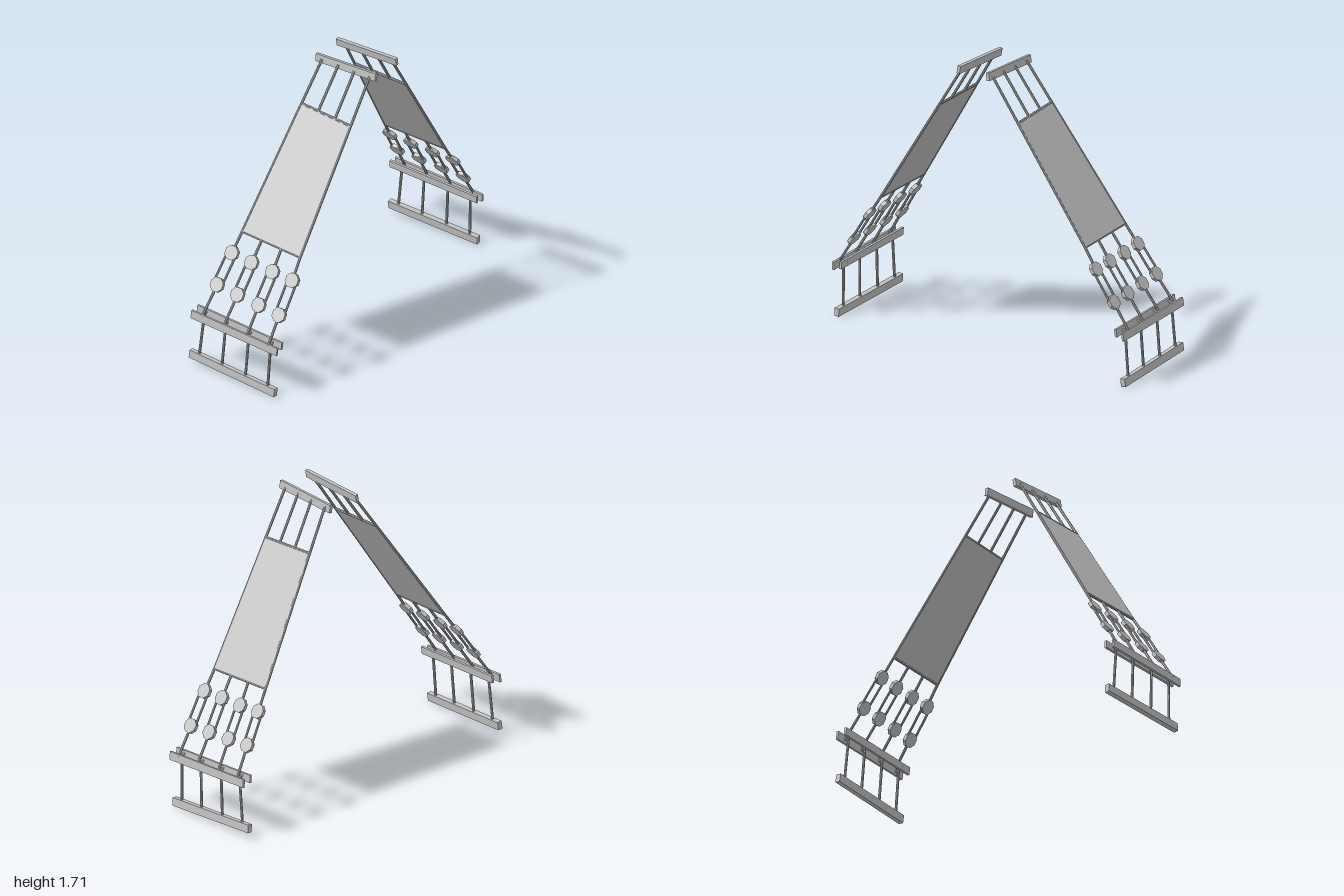
import * as THREE from 'three';

const V = (x, y, z) => new THREE.Vector3(x, y, z);

export function createModel() {
  const grey = new THREE.MeshStandardMaterial({ color: 0xc0c0c0 });
  grey.name = 'grey metal';
  grey.flatShading = true;
  const model = new THREE.Group();
  model.name = 'hingedPair';

  // One side; s = 1 for the model's left, -1 for its right
  function buildSide(s) {
    const side = new THREE.Group();
    side.name = s > 0 ? 'leftSide' : 'rightSide';

    // Point on the sloping plane at height y and depth z
    const onSlope = (y, z) => V(s * (0.1 + (1.69 - y) * 0.652), y, z);
    const normal = V(s * 0.838, 0.546, 0);

    function add(geometry, name) {
      const mesh = new THREE.Mesh(geometry, grey);
      mesh.name = name;
      side.add(mesh);
      return mesh;
    }

    function rod(a, b, name, radius = 0.008) {
      const mesh = add(new THREE.CylinderGeometry(radius, radius, a.distanceTo(b), 8), name);
      mesh.position.copy(a).lerp(b, 0.5);
      mesh.quaternion.setFromUnitVectors(V(0, 1, 0), b.clone().sub(a).normalize());
    }

    // Box running from a to b with its height along up
    function bar(a, b, width, height, up, name) {
      const mesh = add(new THREE.BoxGeometry(width, height, a.distanceTo(b)), name);
      const dir = b.clone().sub(a).normalize();
      const across = up.clone().cross(dir).normalize();
      const top = dir.clone().cross(across);
      mesh.quaternion.setFromRotationMatrix(new THREE.Matrix4().makeBasis(across, top, dir));
      mesh.position.copy(a).lerp(b, 0.5);
    }

    // Flat disc lying in the slope
    function disc(p) {
      const geometry = new THREE.CylinderGeometry(0.044, 0.044, 0.022, 8);
      geometry.rotateY(Math.PI / 8);
      const mesh = add(geometry, 'disc');
      mesh.quaternion.setFromUnitVectors(V(0, 1, 0), normal);
      mesh.position.copy(p);
    }

    // Top bar
    bar(V(s * 0.1, 1.676, -0.08), V(s * 0.1, 1.69, 0.33), 0.02, 0.046, V(-s * 0.15, 1, 0), 'topBar');

    // Side rails and inner rods above the panel
    rod(onSlope(1.69, 0.29), onSlope(0.77, 0.235), 'sideRail');
    rod(onSlope(1.68, -0.037), onSlope(0.787, -0.172), 'sideRail');
    rod(onSlope(1.69, 0.185), onSlope(1.435, 0.163), 'upperRod');
    rod(onSlope(1.685, 0.075), onSlope(1.44, 0.045), 'upperRod');

    // Panel: a thin box stretched to its four corners
    const panelGeo = new THREE.BoxGeometry(1, 1, 1);
    const pos = panelGeo.attributes.position;
    const rows = [
      [onSlope(0.787, -0.17), onSlope(0.77, 0.237)],
      [onSlope(1.45, -0.067), onSlope(1.432, 0.273)],
    ];
    for (let i = 0; i < pos.count; i++) {
      const row = rows[pos.getY(i) > 0 ? 1 : 0];
      const p = row[pos.getZ(i) > 0 ? 1 : 0].clone();
      p.addScaledVector(normal, s * pos.getX(i) * 0.01);
      pos.setXYZ(i, p.x, p.y, p.z);
    }
    panelGeo.computeVertexNormals();
    add(panelGeo, 'panel');
    rod(...rows[0], 'panelEdge');
    rod(...rows[1], 'panelEdge');

    // Four strands, each a rod, two discs joined by twin rods, and a lower rod
    // [panel z, y], [upper disc z, y], [lower disc z, y], hinge z, foot z
    const strands = [
      [[0.235, 0.77], [0.235, 0.655], [0.225, 0.48], 0.22, 0.207],
      [[0.102, 0.775], [0.096, 0.66], [0.08, 0.49], 0.068, 0.05],
      [[-0.035, 0.78], [-0.05, 0.665], [-0.07, 0.5], -0.093, -0.115],
      [[-0.172, 0.787], [-0.19, 0.675], [-0.215, 0.51], -0.243, -0.275],
    ];
    for (const [[z0, y0], [z1, y1], [z2, y2], z3, z4] of strands) {
      const hingeY = 0.335 - z3 * 0.05;
      rod(onSlope(y0, z0), onSlope(y1, z1), 'strandRod');
      disc(onSlope(y1, z1));
      disc(onSlope(y2, z2));
      for (const dz of [-0.03, 0.03]) rod(onSlope(y1, z1 + dz), onSlope(y2, z2 + dz), 'twinRod', 0.007);
      rod(onSlope(y2, z2), onSlope(hingeY, z3), 'strandRod');
      // Hinge pin between the two rails, and the hanging rod
      rod(V(s * 0.935, hingeY + 0.01, z3), V(s * 0.988, hingeY - 0.015, z3), 'hingePin');
      rod(V(s * (0.96 + z3 * 0.02), hingeY, z3), V(s * (0.97 + z4 * 0.03), 0.04 - z4 * 0.05, z4), 'hangingRod');
    }

    // Hinge rails and bottom bar
    const tilt = V(-s * 0.1, 1, 0);
    bar(V(s * 0.985, 0.342, -0.31), V(s * 0.991, 0.31, 0.285), 0.013, 0.05, tilt, 'outerHingeRail');
    bar(V(s * 0.93, 0.352, -0.307), V(s * 0.942, 0.322, 0.283), 0.014, 0.046, tilt, 'innerHingeRail');
    bar(V(s * 0.961, 0.062, -0.333), V(s * 0.98, 0.028, 0.265), 0.03, 0.048, tilt, 'bottomBar');

    model.add(side);
  }

  buildSide(1);
  buildSide(-1);
  return model;
}
